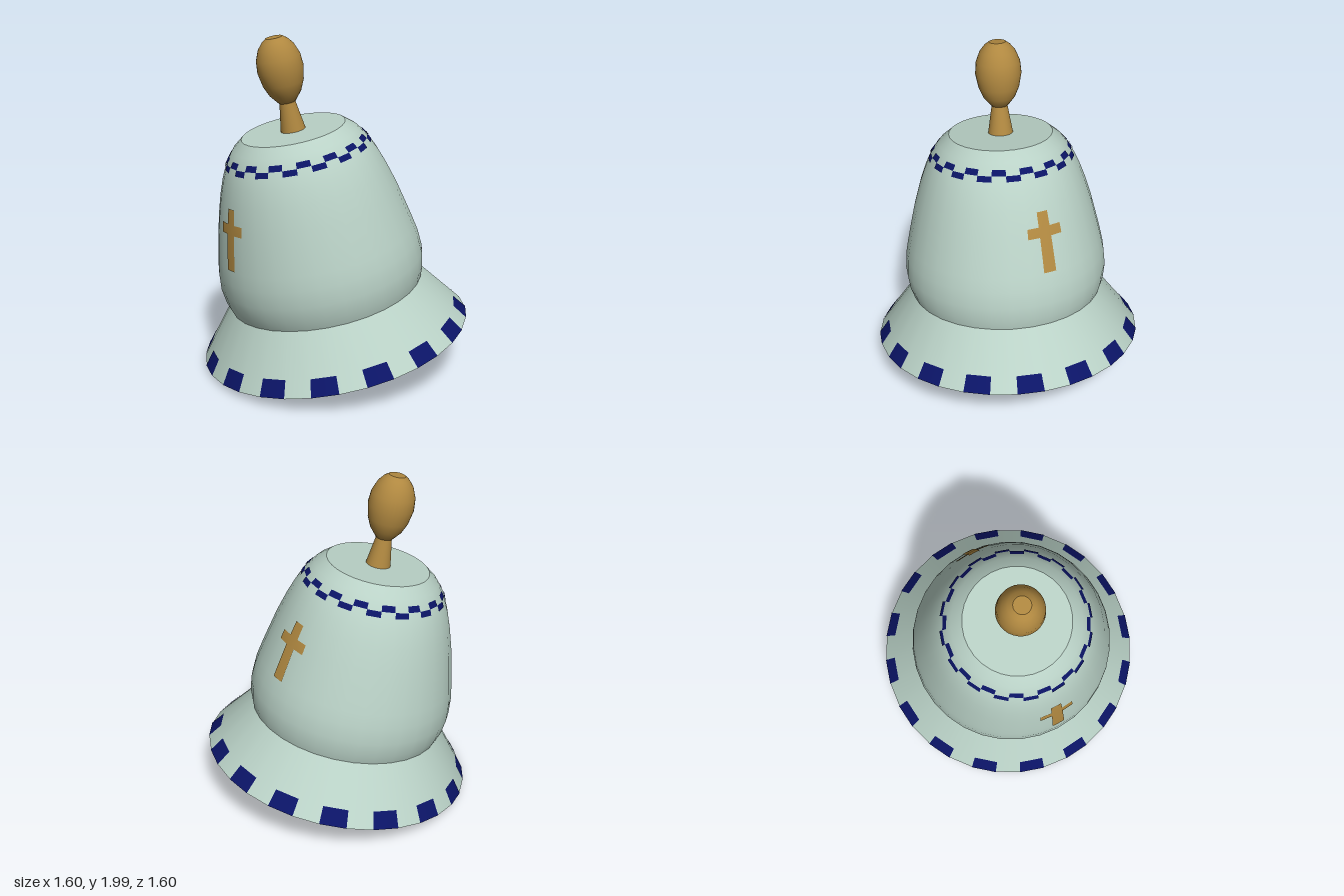
import * as THREE from 'three';
import { mergeGeometries } from 'three/addons/utils/BufferGeometryUtils.js';

const SIDES = 32;
const STEP = (Math.PI * 2) / SIDES;

// Profiles are [height along the bell axis, radius], measured from the rim plane.
const SKIRT = [[0, 0.805], [0.3, 0.58]];
const DOME = [
  [0.3, 0.58], [0.36, 0.6], [0.45, 0.612], [0.55, 0.604], [0.63, 0.588], [0.71, 0.57],
  [0.87, 0.532], [1.0, 0.493], [1.09, 0.46], [1.18, 0.418], [1.25, 0.366], [1.3, 0.305],
];
const LINING = [[1.15, 0], [1.15, 0.15], [1.0, 0.3], [0.7, 0.41], [0.45, 0.45], [0.3, 0.42]];

const toPoints = (profile, grow = 0) => profile.map(([h, r]) => new THREE.Vector2(r + grow, h));

// Radius of a profile at height h
function radiusAt(profile, h) {
  const i = Math.max(1, profile.findIndex(([ph]) => ph >= h));
  const [h0, r0] = profile[i - 1];
  const [h1, r1] = profile[i];
  return r0 + ((r1 - r0) * (h - h0)) / (h1 - h0);
}

// Thin painted patch lying just above a profile, between two heights and two angles
function patch(profile, h0, h1, phi, length, segments = 1) {
  const inner = profile.filter(([h]) => h > h0 && h < h1);
  const strip = [[h0, radiusAt(profile, h0)], ...inner, [h1, radiusAt(profile, h1)]];
  return new THREE.LatheGeometry(toPoints(strip, 0.004), segments, phi, length);
}

export function createModel() {
  const glaze = new THREE.MeshStandardMaterial({ color: 0xb9d1c6 });
  const wood = new THREE.MeshStandardMaterial({ color: 0xb08840 });
  const navy = new THREE.MeshStandardMaterial({ color: 0x0b1466, side: THREE.DoubleSide });
  const gold = new THREE.MeshStandardMaterial({ color: 0xb08840, side: THREE.DoubleSide });

  const model = new THREE.Group();
  model.name = 'handBell';

  // The whole bell leans towards the front and its right
  const bell = new THREE.Group();
  bell.name = 'tiltedBell';
  bell.position.y = 0.18;
  bell.rotation.set(0.151, 0, 0.126);
  model.add(bell);

  const add = (name, geometry, material) => {
    const mesh = new THREE.Mesh(geometry, material);
    mesh.name = name;
    bell.add(mesh);
  };
  const lathe = (name, profile, material) =>
    add(name, new THREE.LatheGeometry(toPoints(profile), SIDES), material);

  // Outer shell
  lathe('skirt', SKIRT, glaze);
  lathe('dome', DOME, glaze);
  lathe('crown', [[1.3, 0.305], [1.3, 0]], glaze);

  // Inside and underside
  lathe('lining', LINING, wood);
  lathe('innerFlare', [[0.3, 0.42], [0, 0.597]], wood);
  lathe('rimUnderside', [[0, 0.597], [0, 0.805]], wood);

  // Handle
  lathe('handleStem', [[1.29, 0.074], [1.49, 0.042]], wood);
  lathe('handleKnob', [
    [1.465, 0], [1.467, 0.05], [1.52, 0.092], [1.58, 0.118], [1.66, 0.133],
    [1.73, 0.127], [1.79, 0.103], [1.825, 0.075], [1.845, 0.048],
  ], wood);
  lathe('handleTip', [[1.845, 0.048], [1.845, 0]], wood);

  // Clapper
  lathe('clapperStem', [[0.25, 0.11], [1.15, 0.11]], wood);
  lathe('clapperFoot', [[-0.155, 0], [-0.155, 0.12]], wood);
  lathe('clapperBall', [
    [-0.155, 0.12], [-0.1, 0.157], [-0.02, 0.187], [0.08, 0.204],
    [0.17, 0.192], [0.25, 0.15], [0.29, 0.1], [0.3, 0],
  ], wood);

  // Dashes along the rim and a two-row checker band under the crown
  const dashes = [];
  const checks = [];
  for (let i = 0; i < SIDES; i++) {
    if (i % 2 === 0) dashes.push(patch(SKIRT, 0.002, 0.085, i * STEP, STEP));
    const low = i % 2 === 0 ? 1.16 : 1.19;
    checks.push(patch(DOME, low, low + 0.03, i * STEP, STEP));
  }
  add('rimDashes', mergeGeometries(dashes), navy);
  add('checkerBand', mergeGeometries(checks), navy);

  // Matching crosses on opposite sides of the dome
  for (const [name, centre] of [['frontCross', -2 * STEP], ['backCross', 14 * STEP]]) {
    const halfBar = STEP / 3;
    add(name, mergeGeometries([
      patch(DOME, 0.64, 0.985, centre - halfBar, halfBar * 2, 2),
      patch(DOME, 0.842, 0.9, centre - STEP, STEP * 2, 2),
    ]), gold);
  }

  return model;
}
